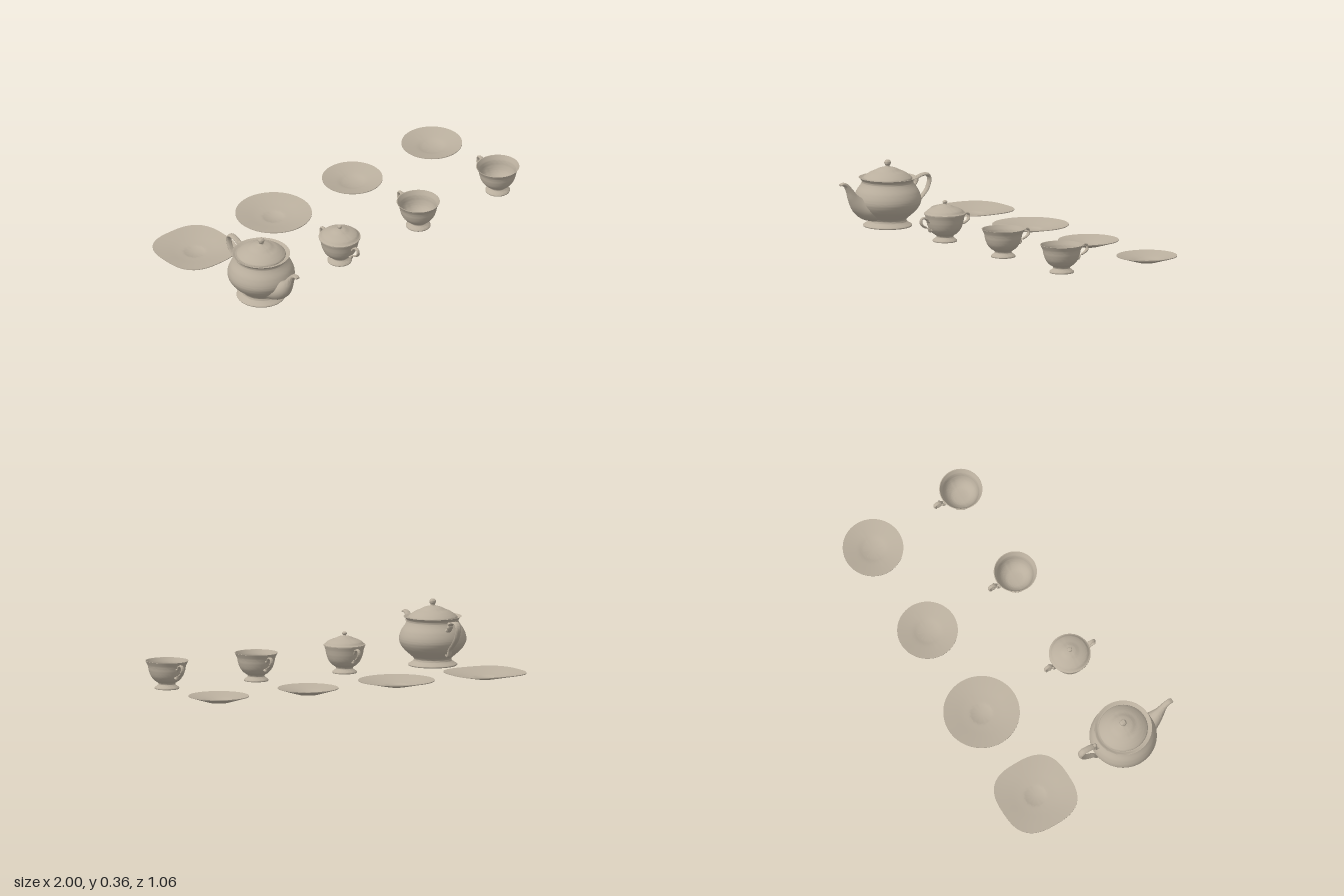
import * as THREE from 'three';
import { toCreasedNormals } from 'three/addons/utils/BufferGeometryUtils.js';

const china = new THREE.MeshStandardMaterial({ color: 0xb9ae9d });
china.name = 'warm grey china';

function makeMesh(name, geometry) {
  const mesh = new THREE.Mesh(toCreasedNormals(geometry, 0.7), china);
  mesh.name = name;
  return mesh;
}

// Profile made of smooth runs that meet at sharp corners
function profile(runs, steps = 5) {
  const out = [];
  for (const run of runs) {
    const pts = run.map(([r, y]) => new THREE.Vector2(r, y));
    const list = pts.length > 2 ? new THREE.SplineCurve(pts).getPoints((pts.length - 1) * steps) : pts;
    for (const p of list) {
      p.x = Math.max(p.x, 0);
      if (!out.length || out[out.length - 1].distanceTo(p) > 1e-5) out.push(p);
    }
  }
  return out;
}

const turned = (runs, sides = 56) => new THREE.LatheGeometry(profile(runs), sides);

// Oval tube in the z-y plane; rows are [z, y, thickness, half width]
function sweep(rows, steps = 40, sides = 14) {
  const path = new THREE.CatmullRomCurve3(rows.map(([z, y]) => new THREE.Vector3(0, y, z)));
  const size = new THREE.CatmullRomCurve3(rows.map((r) => new THREE.Vector3(r[2], r[3], 0)));
  const pos = [], index = [];
  const ring = (t, k) => {
    const p = path.getPoint(t), d = path.getTangent(t), s = size.getPoint(t);
    for (let j = 0; j < sides; j++) {
      const a = (j / sides) * Math.PI * 2;
      const n = Math.sin(a) * s.x * k;
      pos.push(Math.cos(a) * s.y * k, p.y + d.z * n, p.z - d.y * n);
    }
  };
  ring(0, 0.01);
  for (let i = 0; i <= steps; i++) ring(i / steps, 1);
  ring(1, 0.01);
  for (let i = 0; i < steps + 2; i++) {
    for (let j = 0; j < sides; j++) {
      const a = i * sides + j, b = i * sides + ((j + 1) % sides);
      index.push(a, b, a + sides, b, b + sides, a + sides);
    }
  }
  const g = new THREE.BufferGeometry();
  g.setAttribute('position', new THREE.Float32BufferAttribute(pos, 3));
  g.setIndex(index);
  return g;
}

function place(name, x, z, ...parts) {
  const group = new THREE.Group();
  group.name = name;
  group.position.set(x, 0, z);
  group.add(...parts);
  return group;
}

// Plate with a small sunken centre; power above 2 squares off the rim
function plate(name, radius, power = 2) {
  const g = turned([
    [[0, 0.005], [0.055, 0.005]],
    [[0.055, 0.005], [radius, 0.036]],
    [[radius, 0.036], [radius, 0.04]],
    [[radius, 0.04], [radius * 0.75, 0.03], [radius * 0.5, 0.02], [0.062, 0.014], [0.052, 0.011]],
    [[0.052, 0.011], [0, 0.011]],
  ], 72);
  const p = g.attributes.position;
  for (let i = 0; i < p.count; i++) {
    const x = p.getX(i), z = p.getZ(i), r = Math.hypot(x, z);
    if (r < 1e-6) continue;
    const square = Math.pow(Math.abs(x / r) ** power + Math.abs(z / r) ** power, -1 / power);
    const k = 1 + (square - 1) * THREE.MathUtils.smoothstep(r, 0.055, radius);
    p.setX(i, x * k);
    p.setZ(i, z * k);
  }
  return makeMesh(name, g);
}

// Ear-shaped handle with a curled upper end
function earHandle(name, offset, turn) {
  const rows = [
    [0.094, 0.118, 0.006, 0.008], [0.106, 0.119, 0.006, 0.008], [0.116, 0.132, 0.006, 0.009],
    [0.132, 0.143, 0.006, 0.009], [0.149, 0.139, 0.006, 0.009], [0.154, 0.124, 0.006, 0.009],
    [0.146, 0.105, 0.006, 0.009], [0.122, 0.091, 0.006, 0.008], [0.104, 0.083, 0.006, 0.008],
    [0.098, 0.07, 0.007, 0.008], [0.074, 0.072, 0.006, 0.007],
  ].map(([z, ...rest]) => [z + offset, ...rest]);
  const mesh = makeMesh(name, sweep(rows));
  mesh.rotation.y = turn;
  return mesh;
}

// Footed open bowl shared by cups and sugar bowl
function bowl(name, rim) {
  return makeMesh(name, turned([
    [[0, 0.005], [0.064, 0.005]],
    [[0.064, 0.005], [0.065, 0.012], [0.054, 0.021], [0.045, 0.029], [0.048, 0.038],
      [0.068, 0.052], [0.086, 0.075], [0.097, 0.105], [0.102, 0.13], [rim, 0.156]],
    [[rim, 0.156], [rim - 0.004, 0.156]],
    [[rim - 0.004, 0.156], [0.097, 0.13], [0.092, 0.105], [0.081, 0.077], [0.062, 0.056],
      [0.04, 0.045], [0, 0.042]],
  ]));
}

function teapot() {
  const body = makeMesh('teapotBody', turned([
    [[0, 0.005], [0.128, 0.005]],
    [[0.128, 0.005], [0.13, 0.012], [0.116, 0.021], [0.102, 0.032], [0.102, 0.046], [0.124, 0.066],
      [0.156, 0.096], [0.176, 0.13], [0.178, 0.16], [0.166, 0.195], [0.146, 0.225],
      [0.137, 0.243], [0.142, 0.256], [0.154, 0.267]],
    [[0.154, 0.267], [0.149, 0.267]],
    [[0.149, 0.267], [0.136, 0.26], [0.118, 0.258]],
    [[0.118, 0.258], [0, 0.258]],
  ]));
  const lid = makeMesh('teapotLid', turned([
    [[0, 0.256], [0.13, 0.256]],
    [[0.13, 0.256], [0.131, 0.264], [0.124, 0.272], [0.11, 0.283], [0.09, 0.295], [0.068, 0.304],
      [0.05, 0.314], [0.03, 0.32], [0.014, 0.324]],
    [[0.014, 0.324], [0.011, 0.33], [0.016, 0.338], [0.018, 0.347], [0.012, 0.358], [0, 0.362]],
  ]));
  const spout = makeMesh('spout', sweep([
    [0.08, 0.095, 0.06, 0.075], [0.14, 0.108, 0.056, 0.065], [0.185, 0.133, 0.045, 0.046],
    [0.222, 0.175, 0.03, 0.029], [0.246, 0.218, 0.019, 0.02], [0.27, 0.25, 0.012, 0.016],
    [0.29, 0.257, 0.009, 0.015], [0.305, 0.254, 0.005, 0.013],
  ], 40, 20));
  const handle = makeMesh('teapotHandle', sweep([
    [-0.14, 0.21, 0.009, 0.014], [-0.167, 0.209, 0.009, 0.015], [-0.178, 0.222, 0.009, 0.016],
    [-0.186, 0.243, 0.009, 0.016], [-0.215, 0.256, 0.008, 0.017], [-0.254, 0.256, 0.009, 0.018],
    [-0.268, 0.232, 0.009, 0.017], [-0.253, 0.18, 0.009, 0.016], [-0.212, 0.135, 0.008, 0.015],
    [-0.184, 0.11, 0.008, 0.014], [-0.171, 0.08, 0.01, 0.014], [-0.155, 0.07, 0.007, 0.011],
    [-0.12, 0.085, 0.007, 0.011],
  ], 60));
  // Small thumb scroll where the handle meets the neck
  const thumb = makeMesh('thumbScroll', new THREE.SphereGeometry(0.011, 16, 10));
  thumb.position.set(0, 0.246, -0.176);
  return place('teapot', -0.795, 0.222, body, lid, spout, handle, thumb);
}

function sugarBowl() {
  const lid = makeMesh('sugarLid', turned([
    [[0, 0.152], [0.111, 0.152]],
    [[0.111, 0.152], [0.111, 0.157]],
    [[0.111, 0.157], [0.102, 0.162], [0.092, 0.173], [0.072, 0.183], [0.05, 0.191], [0.03, 0.2], [0.01, 0.204]],
    [[0.01, 0.204], [0.008, 0.208], [0.013, 0.215], [0.01, 0.223], [0, 0.227]],
  ]));
  return place('sugarBowl', -0.255, 0.224, bowl('sugarBody', 0.11), lid,
    earHandle('frontHandle', 0, 0), earHandle('backHandle', 0, Math.PI));
}

export function createModel() {
  const set = new THREE.Group();
  set.name = 'teaSet';
  set.add(teapot(), sugarBowl());
  set.add(place('squarePlatePlace', -0.797, -0.325, plate('squarePlate', 0.203, 2.8)));
  set.add(place('roundPlatePlace', -0.253, -0.325, plate('roundPlate', 0.203)));
  for (const x of [0.29, 0.838]) {
    set.add(place('saucerPlace', x, -0.325, plate('saucer', 0.161)));
    set.add(place('cup', x - 0.001, 0.222, bowl('cupBody', 0.115), earHandle('cupHandle', 0.01, Math.PI)));
  }
  return set;
}
